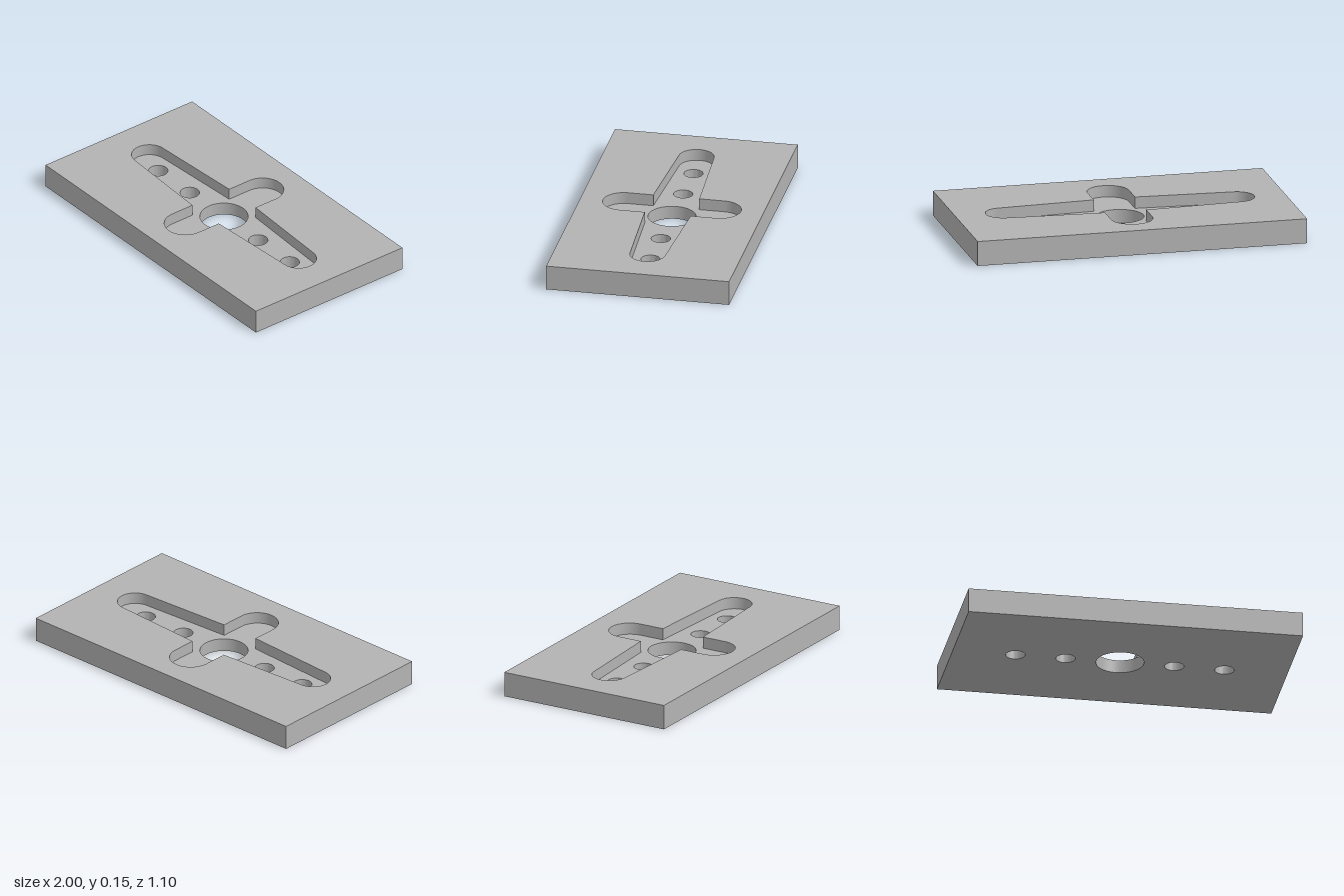
import * as THREE from 'three';
import { toCreasedNormals } from 'three/addons/utils/BufferGeometryUtils.js';

const HEIGHT = 0.15, FLOOR = 0.08;
const HALF_X = 1, HALF_Z = 0.55;

// Outlines are drawn counter-clockwise in plan: x right, y towards the back
function plateOutline() {
  return [[-1, -1], [1, -1], [1, 1], [-1, 1]].map(([x, y]) => new THREE.Vector2(x * HALF_X, y * HALF_Z));
}

function circleOutline(x, r, n = 48) {
  return Array.from({ length: n }, (_, i) => {
    const a = (i / n) * Math.PI * 2;
    return new THREE.Vector2(x + r * Math.cos(a), r * Math.sin(a));
  });
}

// Cross-shaped pocket: two long tapered arms and two short straight ones, all with round ends
function pocketOutline() {
  const armX = 0.71, armR = 0.105, slotR = 0.125, slotY = 0.29, innerY = 0.138;
  const q = Math.PI / 2, taper = 0.055;
  const pts = [];
  const arc = (cx, cy, r, a0, a1, n = 24) => {
    for (let i = 0; i <= n; i++) {
      const a = a0 + ((a1 - a0) * i) / n;
      pts.push(new THREE.Vector2(cx + r * Math.cos(a), cy + r * Math.sin(a)));
    }
  };
  for (const s of [1, -1]) {
    const turn = s === 1 ? 0 : Math.PI;
    arc(s * armX, 0, armR, turn - q + taper, turn + q - taper);
    pts.push(new THREE.Vector2(s * slotR, s * innerY));
    arc(0, s * slotY, slotR, turn, turn + Math.PI);
    pts.push(new THREE.Vector2(-s * slotR, s * innerY));
  }
  return pts;
}

// Flat horizontal face with holes, facing up or down
function face(outline, holes, y, up = true) {
  const shape = new THREE.Shape(outline);
  shape.holes = holes.map((h) => new THREE.Path(h));
  return new THREE.ShapeGeometry(shape).rotateX(up ? -Math.PI / 2 : Math.PI / 2).translate(0, y, 0);
}

// Upright wall along an outline, facing outwards or into the opening
function wall(outline, y0, y1, inward = true) {
  const pts = inward ? [...outline].reverse() : outline;
  const pos = [];
  pts.forEach((a, i) => {
    const b = pts[(i + 1) % pts.length];
    const A = [a.x, y0, -a.y], B = [b.x, y0, -b.y], C = [b.x, y1, -b.y], D = [a.x, y1, -a.y];
    pos.push(...A, ...B, ...C, ...A, ...C, ...D);
  });
  const g = new THREE.BufferGeometry();
  g.setAttribute('position', new THREE.Float32BufferAttribute(pos, 3));
  return toCreasedNormals(g, 0.5);
}

export function createModel() {
  const group = new THREE.Group();
  group.name = 'pocketedPlate';
  const metal = new THREE.MeshStandardMaterial({ color: 0xb3b3b3 });
  metal.name = 'plainGrey';
  const add = (name, geometry) => {
    const mesh = new THREE.Mesh(geometry, metal);
    mesh.name = name;
    group.add(mesh);
  };

  const plate = plateOutline();
  const pocket = pocketOutline();
  const bore = circleOutline(0, 0.142, 72);
  const boltHoles = [-0.625, -0.325, 0.325, 0.625].map((x) => circleOutline(x, 0.057));
  const holes = [bore, ...boltHoles];

  // Plate
  add('plateTop', face(plate, [pocket], HEIGHT));
  add('plateBottom', face(plate.map((p) => p.clone()), holes, 0, false));
  add('plateSides', wall(plate, 0, HEIGHT, false));

  // Recess
  add('pocketFloor', face(pocket, holes, FLOOR));
  add('pocketWall', wall(pocket, FLOOR, HEIGHT));

  // Through holes
  add('centreBore', wall(bore, 0, FLOOR));
  boltHoles.forEach((h, i) => add(`boltHole${i + 1}`, wall(h, 0, FLOOR)));

  return group;
}
